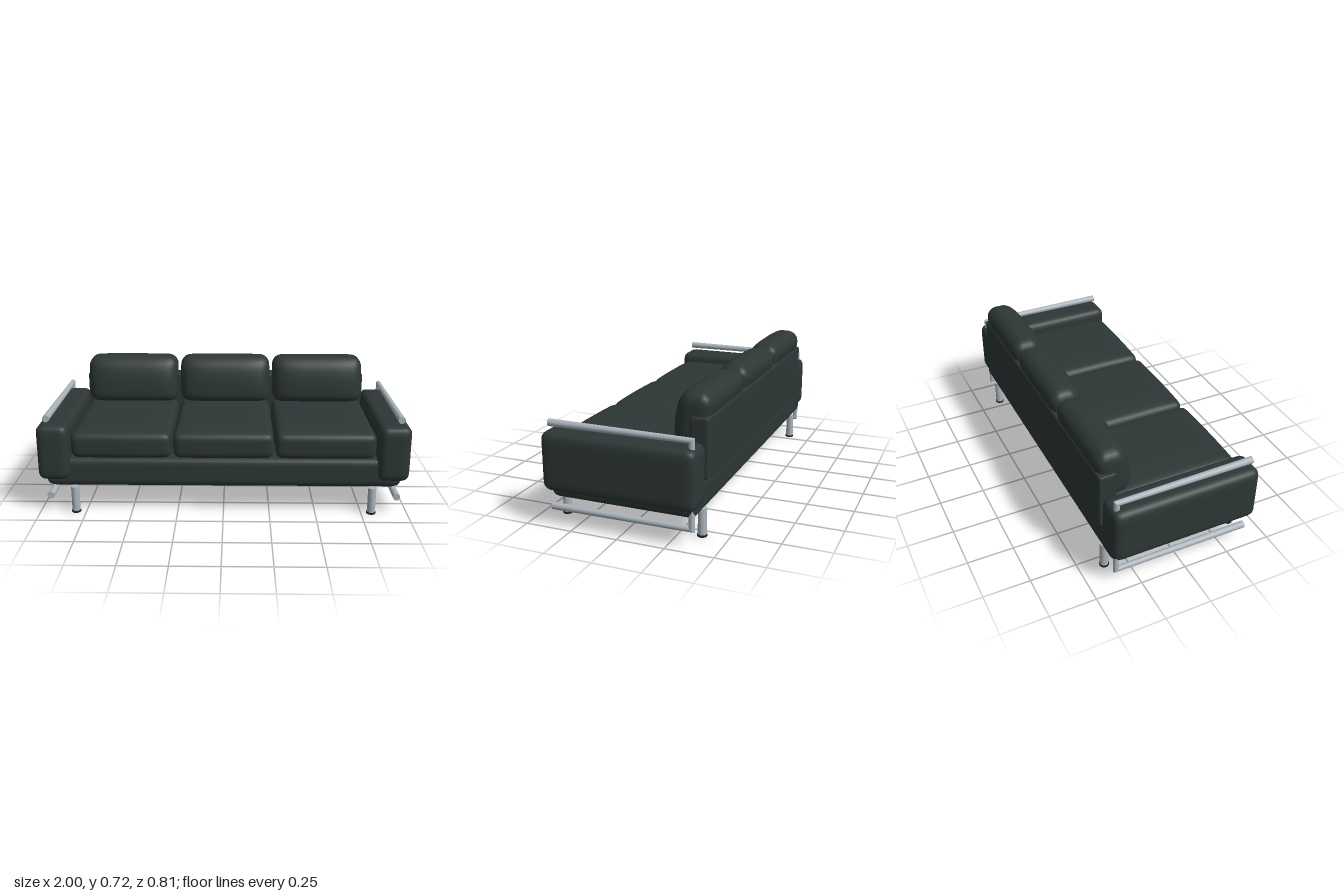
import * as THREE from 'three';
import { mergeVertices } from 'three/addons/utils/BufferGeometryUtils.js';

const leather = new THREE.MeshStandardMaterial({ color: 0x2d3736 });
leather.name = 'dark leather';
const steel = new THREE.MeshStandardMaterial({ color: 0xaab4bb });
steel.name = 'brushed steel';
const rubber = new THREE.MeshStandardMaterial({ color: 0x1c2325 });
rubber.name = 'black rubber';

// Rounded, softly padded block between two corners; shape(p, u) may push each
// vertex p further, with u its place in the block from -1 to 1 on each axis
function pad(name, min, max, radius, shape) {
  const half = max.map((m, i) => (m - min[i]) / 2);
  const centre = max.map((m, i) => (m + min[i]) / 2);
  const geo = new THREE.BoxGeometry(2, 2, 2, 20, 16, 20);
  const pos = geo.attributes.position;
  const p = new THREE.Vector3(), inner = new THREE.Vector3(), u = new THREE.Vector3();
  const size = new THREE.Vector3(...half);
  const core = size.clone().subScalar(radius);
  for (let i = 0; i < pos.count; i++) {
    p.fromBufferAttribute(pos, i);
    // crowd the grid lines towards the edges
    for (const a of ['x', 'y', 'z']) p[a] = Math.sin(p[a] * Math.PI / 2);
    p.multiply(size);
    inner.copy(p).clamp(core.clone().negate(), core);
    p.sub(inner).setLength(radius).add(inner);
    u.copy(p).divide(size);
    if (shape) shape(p, u);
    pos.setXYZ(i, p.x + centre[0], p.y + centre[1], p.z + centre[2]);
  }
  geo.deleteAttribute('uv');
  geo.deleteAttribute('normal');
  const smooth = mergeVertices(geo, 1e-5);
  smooth.computeVertexNormals();
  const mesh = new THREE.Mesh(smooth, leather);
  mesh.name = name;
  return mesh;
}

// Upright tube whose ends can be cut at 45 degrees (slope along local z)
function tube(name, length, rTop, rBottom, cutTop = 0, cutBottom = 0) {
  const geo = new THREE.CylinderGeometry(rTop, rBottom, length, 24);
  const pos = geo.attributes.position;
  for (let i = 0; i < pos.count; i++) {
    const cut = pos.getY(i) > 0 ? cutTop : cutBottom;
    pos.setY(i, pos.getY(i) + cut * pos.getZ(i));
  }
  const mesh = new THREE.Mesh(geo, steel);
  mesh.name = name;
  return mesh;
}

// Steel rail around the arm: two long bars mitred to a rear upright
function armFrame(x) {
  const frame = new THREE.Group();
  frame.name = x > 0 ? 'leftArmFrame' : 'rightArmFrame';
  const front = 0.378, back = -0.366, top = 0.53, bottom = 0.093;
  const thick = 0.019, thin = 0.0145;
  const upper = tube('upperRail', front - back, thick, thin, 0, 1);
  const lower = tube('lowerRail', front - back, thick, thin, 0, -1);
  for (const [rail, y] of [[upper, top], [lower, bottom]]) {
    rail.rotation.x = Math.PI / 2;
    rail.position.set(x, y, (front + back) / 2);
  }
  const upright = tube('rearUpright', top - bottom, thin, thin, -1, 1);
  upright.position.set(x, (top + bottom) / 2, back);
  frame.add(upper, lower, upright);
  return frame;
}

function leg(x, z) {
  const group = new THREE.Group();
  group.name = 'leg';
  const post = tube('legPost', 0.14, 0.022, 0.022);
  post.position.y = 0.078;
  const foot = new THREE.Mesh(new THREE.CylinderGeometry(0.025, 0.025, 0.01, 24), rubber);
  foot.name = 'footPad';
  foot.position.y = 0.005;
  group.add(post, foot);
  group.position.set(x, 0, z);
  return group;
}

// Crowned seat top with a slightly bowed front edge
function seatShape(p, u) {
  const crown = (1 - u.x ** 4) * (1 - u.z ** 4);
  if (u.y > 0) p.y += 0.012 * u.y * crown;
  if (u.z > 0) p.z += 0.006 * u.z * (1 - u.x ** 2);
}

// Back cushion: front swells in the middle and leans back towards the top
function backShape(p, u) {
  const t = (u.y + 1) / 2;
  const front = (u.z + 1) / 2;
  p.z += front * (0.03 * (1 - u.x ** 4) - 0.045 * t ** 3);
  if (u.z < 0) p.z += u.z * 0.012 * Math.max(0, 1 - ((t - 0.78) / 0.22) ** 2);
  if (u.y > 0) p.y += 0.01 * u.y * (1 - u.x ** 4) * (1 - u.z ** 2);
}

export function createModel() {
  const sofa = new THREE.Group();
  sofa.name = 'sofa';

  // Upholstered base and back panel
  sofa.add(pad('base', [-0.96, 0.145, -0.39], [0.96, 0.31, 0.38], 0.04));
  sofa.add(pad('backPanel', [-0.83, 0.298, -0.405], [0.83, 0.605, -0.31], 0.012));

  // Three seat and back cushions
  for (const x of [-0.55, 0, 0.55]) {
    sofa.add(pad('seatCushion', [x - 0.27, 0.305, -0.32], [x + 0.27, 0.447, 0.38], 0.04, seatShape));
    sofa.add(pad('backCushion', [x - 0.266, 0.448, -0.395], [x + 0.266, 0.711, -0.225], 0.055, backShape));
  }

  // Arms, rails and legs on both sides
  for (const side of [-1, 1]) {
    const edges = [side * 0.825, side].sort((a, b) => a - b);
    const name = side > 0 ? 'leftArm' : 'rightArm';
    sofa.add(pad(name, [edges[0], 0.187, -0.4], [edges[1], 0.496, 0.408], 0.045));
    sofa.add(armFrame(side * 0.94));
    sofa.add(leg(side * 0.805, 0.378), leg(side * 0.805, -0.367));
  }
  return sofa;
}
